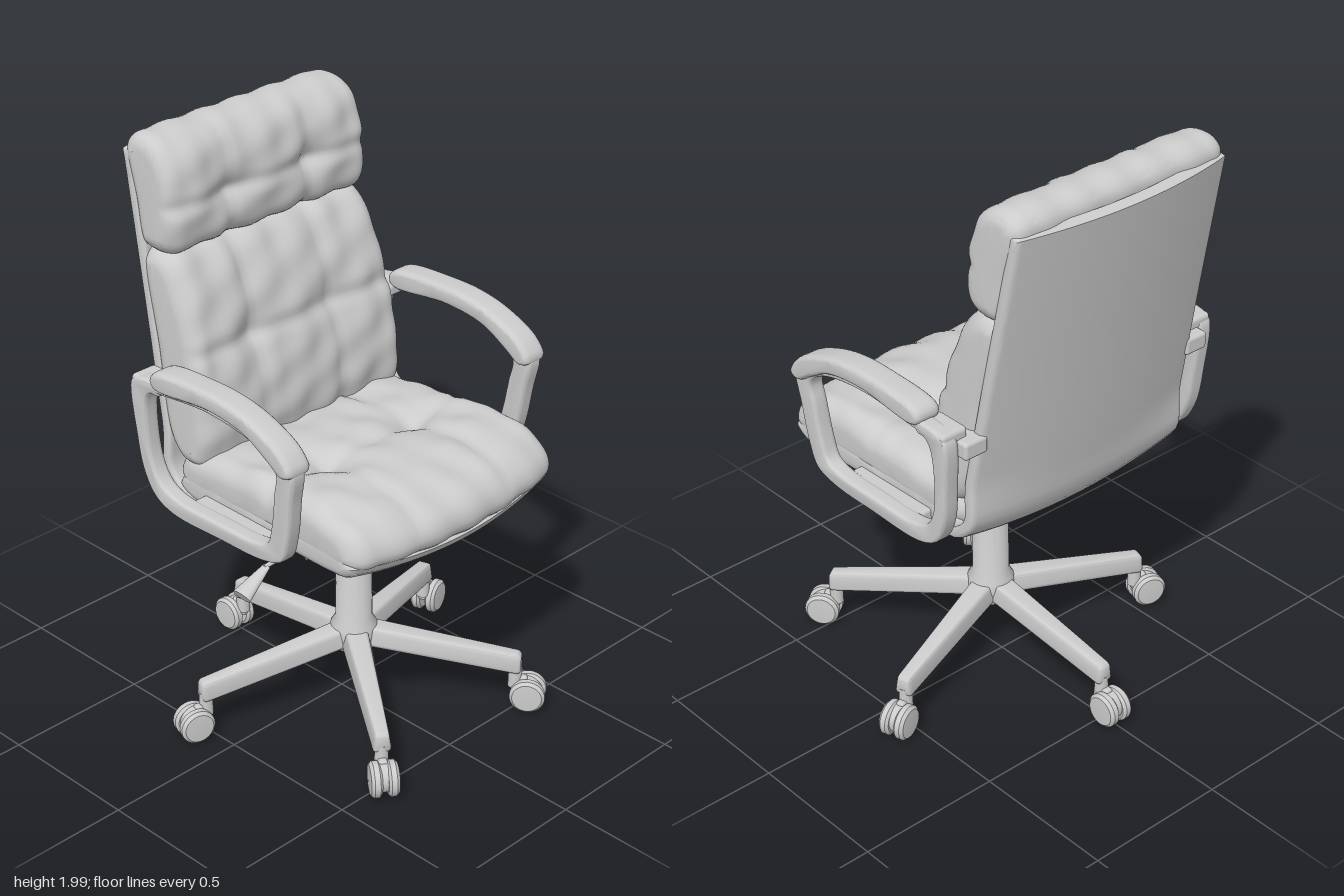
import * as THREE from 'three';
import { toCreasedNormals } from 'three/addons/utils/BufferGeometryUtils.js';
import { RoundedBoxGeometry } from 'three/addons/geometries/RoundedBoxGeometry.js';

const V2 = (x, y) => new THREE.Vector2(x, y);
const spline = (pts, n, closed = true) => {
  const c = new THREE.CatmullRomCurve3(pts.map(p => new THREE.Vector3(p[0], p[1], 0)), closed, 'centripetal');
  const out = c.getSpacedPoints(n).map(p => V2(p.x, p.y));
  if (closed) out.pop();
  return out;
};
const clamp = THREE.MathUtils.clamp;
const bump = (d, w) => Math.exp(-(d * d) / (w * w));

// Sweeps a counter-clockwise xy outline along z, rounding both ends by radius r.
function loft(outline, { half, r, dent = () => 0, warp = () => {}, rows = 56 }) {
  const n = outline.length, pos = [], idx = [], v = new THREE.Vector3();
  for (let j = 0; j <= rows; j++) {
    const t = Math.sin((j / rows - 0.5) * Math.PI);
    for (let i = 0; i < n; i++) {
      const p = outline[i], a = outline[(i + n - 1) % n], b = outline[(i + 1) % n];
      const tan = b.clone().sub(a).normalize(), nx = tan.y, ny = -tan.x;
      const h = half(p.x, p.y), z = h * t;
      const e = Math.max(0, Math.abs(z) - (h - r));
      const inset = r - Math.sqrt(Math.max(0, r * r - e * e)) + dent(p.x, p.y, z, nx, ny);
      v.set(p.x - nx * inset, p.y - ny * inset, z);
      warp(v, t);
      pos.push(v.x, v.y, v.z);
    }
  }
  for (let j = 0; j < rows; j++) for (let i = 0; i < n; i++) {
    const k = (i + 1) % n, a = j * n + i, b = j * n + k;
    idx.push(a, b, a + n, b, b + n, a + n);
  }
  const top = rows * n;
  for (let i = 0; i < n / 2 - 1; i++) {
    const a = i, b = i + 1, c = n - 2 - i, d = n - 1 - i;
    idx.push(top + a, top + b, top + c, top + a, top + c, top + d, a, c, b, a, d, c);
  }
  const g = new THREE.BufferGeometry();
  g.setAttribute('position', new THREE.Float32BufferAttribute(pos, 3));
  g.setIndex(idx);
  return toCreasedNormals(g, 0.9);
}

export function createModel() {
  const model = new THREE.Group();
  const mat = new THREE.MeshStandardMaterial({ color: 0xcccccc });
  const add = (name, geo, parent = model, x = 0, y = 0, z = 0) => {
    const m = new THREE.Mesh(geo, mat);
    m.name = name;
    m.position.set(x, y, z);
    parent.add(m);
    return m;
  };
  const rod = (name, a, b, r0, r1 = r0) => {
    const A = new THREE.Vector3(...a), B = new THREE.Vector3(...b), d = B.clone().sub(A);
    const m = add(name, new THREE.CylinderGeometry(r1, r0, d.length(), 20));
    m.position.copy(A).add(B).multiplyScalar(0.5);
    m.quaternion.setFromUnitVectors(new THREE.Vector3(0, 1, 0), d.normalize());
    return m;
  };

  // Bent shell: back panel curving into the seat pan
  const mid = spline([[-0.567, 1.93], [-0.47, 1.43], [-0.385, 0.98], [-0.355, 0.85], [-0.28, 0.775],
    [-0.15, 0.75], [0.1, 0.762], [0.36, 0.8]], 50, false);
  const side = s => mid.map((p, i) => {
    const t = mid[Math.min(i + 1, 50)].clone().sub(mid[Math.max(i - 1, 0)]).normalize();
    return V2(p.x - t.y * s, p.y + t.x * s);
  });
  add('shell', loft([...side(-0.02), ...side(0.02).reverse()], {
    r: 0.012, rows: 32,
    half: (x, y) => y > 0.95 ? 0.45 - (y - 0.95) * 0.03 : 0.45 - 0.07 * clamp((x + 0.3) / 0.66, 0, 1),
    warp: (v, t) => {
      const w = clamp((v.y - 0.78) / 0.25, 0, 1);
      v.x += 0.05 * t * t * w;
      v.y += 0.05 * t * t * (1 - w);
    },
  }));

  // Back cushions with stitched tufts
  const backHalf = (x, y) => 0.425 + (2 - y) * 0.028;
  const backDent = rowY => (x, y, z, nx) => {
    const f = Math.max(0, nx), a = Math.abs(z);
    const seams = 0.012 * bump(a - 0.17, 0.025) + 0.012 * bump(y - rowY, 0.025);
    const tuft = 0.03 * bump(Math.hypot(a - 0.17, y - rowY), 0.07);
    const fold = 0.005 * Math.sin(z * 31 + y * 17) * Math.sin(y * 29 - z * 11);
    return f * (seams + tuft + fold - 0.008) + 0.003 * Math.sin(z * 43 + y * 9);
  };
  add('headCushion', loft(spline([[-0.535, 1.95], [-0.5, 1.78], [-0.46, 1.63], [-0.38, 1.615], [-0.325, 1.645],
    [-0.305, 1.74], [-0.32, 1.85], [-0.355, 1.94], [-0.415, 1.985], [-0.49, 1.99]], 84),
  { half: backHalf, r: 0.06, dent: backDent(1.78) }));
  add('backCushion', loft(spline([[-0.46, 1.6], [-0.4, 1.3], [-0.34, 1.0], [-0.27, 0.93], [-0.19, 0.94],
    [-0.16, 1.02], [-0.17, 1.16], [-0.215, 1.36], [-0.285, 1.54], [-0.34, 1.61], [-0.41, 1.63]], 100),
  { half: backHalf, r: 0.06, dent: backDent(1.32) }));

  // Seat cushion over a thinner padded base
  const seatHalf = x => 0.445 + 0.02 * clamp(x + 0.3, 0, 1);
  const bowFront = (v, t) => { if (v.x > 0) v.x -= 0.05 * t * t * (v.x / 0.57); };
  add('seatCushion', loft(spline([[-0.32, 0.9], [-0.28, 0.82], [0, 0.815], [0.3, 0.82], [0.5, 0.815], [0.565, 0.86],
    [0.56, 0.92], [0.5, 0.975], [0.36, 1.012], [0.15, 1.01], [-0.1, 0.99], [-0.27, 0.965]], 100), {
    half: seatHalf, r: 0.07,
    dent: (x, y, z, nx, ny) => {
      const a = Math.abs(z);
      const tuft = 0.035 * bump(Math.hypot(x - 0.13, a - 0.2), 0.08);
      const seams = 0.01 * bump(a - 0.2, 0.025) + 0.012 * bump(x - 0.13, 0.03);
      const fold = 0.005 * Math.sin(x * 33 + z * 8) * Math.sin(z * 19 - x * 7);
      return Math.max(0, ny) * (tuft + seams + fold) + 0.003 * Math.sin(z * 41 + x * 10);
    },
    warp: (v, t) => { bowFront(v, t); v.y += 0.02 * t * t * clamp((0.9 - v.y) / 0.08, 0, 1); },
  }));
  add('seatBase', loft(spline([[-0.3, 0.81], [-0.26, 0.775], [0.1, 0.775], [0.44, 0.775], [0.51, 0.785], [0.55, 0.825],
    [0.5, 0.86], [0.1, 0.86], [-0.26, 0.86]], 70), {
    half: seatHalf, r: 0.03, rows: 36,
    warp: (v, t) => { bowFront(v, t); v.y += 0.04 * t * t; },
  }));

  // Armrests: leaning loop frame, padded top, rear bracket
  const loop = spline([[-0.37, 1.24], [-0.365, 1.05], [-0.345, 0.92], [-0.3, 0.84], [-0.22, 0.803], [0, 0.8], [0.2, 0.808],
    [0.28, 0.838], [0.312, 0.92], [0.335, 1.06], [0.35, 1.18], [0.3, 1.22], [0.15, 1.27], [0, 1.285], [-0.2, 1.27], [-0.34, 1.26]], 100);
  const opening = spline([[-0.3, 1.2], [-0.312, 1.05], [-0.295, 0.945], [-0.26, 0.89], [-0.2, 0.865], [0, 0.86], [0.17, 0.865],
    [0.22, 0.885], [0.243, 0.95], [0.265, 1.08], [0.275, 1.16], [0.2, 1.215], [0, 1.25], [-0.2, 1.235], [-0.27, 1.225]], 100);
  const padLine = spline([[-0.27, 1.28], [-0.25, 1.25], [0, 1.265], [0.16, 1.243], [0.26, 1.19], [0.32, 1.155], [0.358, 1.175],
    [0.32, 1.235], [0.2, 1.295], [0.08, 1.322], [-0.05, 1.327], [-0.25, 1.308]], 80);
  const extrude = (pts, holes, width, bevel) => {
    const s = new THREE.Shape(pts);
    s.holes = holes.map(h => new THREE.Path(h));
    const g = new THREE.ExtrudeGeometry(s, { depth: width - 2 * bevel, bevelEnabled: true, bevelThickness: bevel,
      bevelSize: bevel * 0.6, bevelOffset: -bevel * 0.6, bevelSegments: 4 });
    return toCreasedNormals(g.translate(0, 0, bevel - width / 2), 0.7);
  };
  for (const s of [1, -1]) {
    const arm = new THREE.Group();
    arm.name = s > 0 ? 'leftArmrest' : 'rightArmrest';
    model.add(arm);
    const frame = extrude(loop, [opening], 0.058, 0.014), p = frame.attributes.position;
    for (let i = 0; i < p.count; i++) p.setZ(i, p.getZ(i) + s * (0.515 + (p.getY(i) - 0.83) * 0.055));
    add('armFrame', frame, arm);
    add('armPad', extrude(padLine, [], 0.098, 0.025), arm, 0, 0, s * 0.532);
    add('armBracket', new RoundedBoxGeometry(0.13, 0.045, 0.1, 3, 0.015), arm, -0.305, 1.24, s * 0.515);
    add('backMount', new RoundedBoxGeometry(0.08, 0.06, 0.09, 3, 0.012), arm, -0.37, 1.2, s * 0.465);
    add('seatMount', new RoundedBoxGeometry(0.34, 0.045, 0.12, 3, 0.012), arm, 0, 0.835, s * 0.45);
  }

  // Tilt mechanism under the seat
  const cx = 0.057;
  add('mountPlate', new RoundedBoxGeometry(0.3, 0.03, 0.26, 2, 0.008), model, 0.08, 0.73, 0);
  for (const x of [-0.04, 0.2]) for (const z of [-0.1, 0.1])
    add('bolt', new THREE.CylinderGeometry(0.012, 0.012, 0.015, 10), model, x, 0.712, z);
  add('mechanismBox', new RoundedBoxGeometry(0.18, 0.09, 0.1, 3, 0.015), model, 0.08, 0.685, 0);
  rod('tensionKnob', [0.14, 0.71, 0], [0.235, 0.605, 0], 0.038, 0.046);
  rod('leverRod', [0.09, 0.725, 0.04], [0.085, 0.69, 0.43], 0.008);
  rod('leverPaddle', [0.085, 0.69, 0.42], [0.085, 0.625, 0.53], 0.014, 0.038).scale.z = 0.6;
  rod('tiltRod', [0.12, 0.715, 0.04], [0.13, 0.68, 0.29], 0.005);

  // Gas lift column and hub
  const column = [[0, 0.2], [0.07, 0.2], [0.08, 0.22], [0.078, 0.28], [0.062, 0.31], [0.06, 0.5], [0.052, 0.52],
    [0.03, 0.52], [0.03, 0.66], [0, 0.66]].map(p => V2(...p));
  add('column', toCreasedNormals(new THREE.LatheGeometry(column, 36), 0.6), model, cx, 0, 0);

  // Five tapered legs, each with a twin-wheel caster
  for (let k = 0; k < 5; k++) {
    const leg = new THREE.Group();
    leg.name = 'baseLeg';
    leg.position.x = cx;
    leg.rotation.y = Math.PI + k * Math.PI * 0.4;
    model.add(leg);
    const g = new RoundedBoxGeometry(0.55, 0.07, 0.1, 3, 0.016).translate(0.29, 0, 0), p = g.attributes.position;
    for (let i = 0; i < p.count; i++) {
      const f = clamp((p.getX(i) - 0.02) / 0.55, 0, 1);
      p.setY(i, p.getY(i) + 0.252 - 0.077 * f);
      p.setZ(i, p.getZ(i) * (1 - 0.4 * f) * (p.getY(i) > 0.252 - 0.077 * f ? 0.8 : 1));
    }
    g.computeVertexNormals();
    add('legBeam', toCreasedNormals(g, 0.7), leg);
    add('casterStem', new THREE.CylinderGeometry(0.022, 0.024, 0.08, 16), leg, 0.545, 0.125, 0);
    const hood = new THREE.CylinderGeometry(0.05, 0.05, 0.03, 24, 1, false, 0, Math.PI * 1.1);
    add('casterHood', hood.rotateX(Math.PI / 2).rotateZ(0.3), leg, 0.585, 0.066, 0).material = mat;
    add('casterNeck', new RoundedBoxGeometry(0.055, 0.06, 0.03, 2, 0.01), leg, 0.56, 0.095, 0);
    const wheel = [[0, -0.018], [0.05, -0.018], [0.06, -0.01], [0.06, 0.008], [0.05, 0.018], [0, 0.021]].map(q => V2(...q));
    for (const s of [1, -1]) {
      const w = toCreasedNormals(new THREE.LatheGeometry(wheel, 28), 0.5).rotateX(s * Math.PI / 2);
      add('casterWheel', w, leg, 0.59, 0.062, s * 0.028);
    }
  }
  return model;
}
